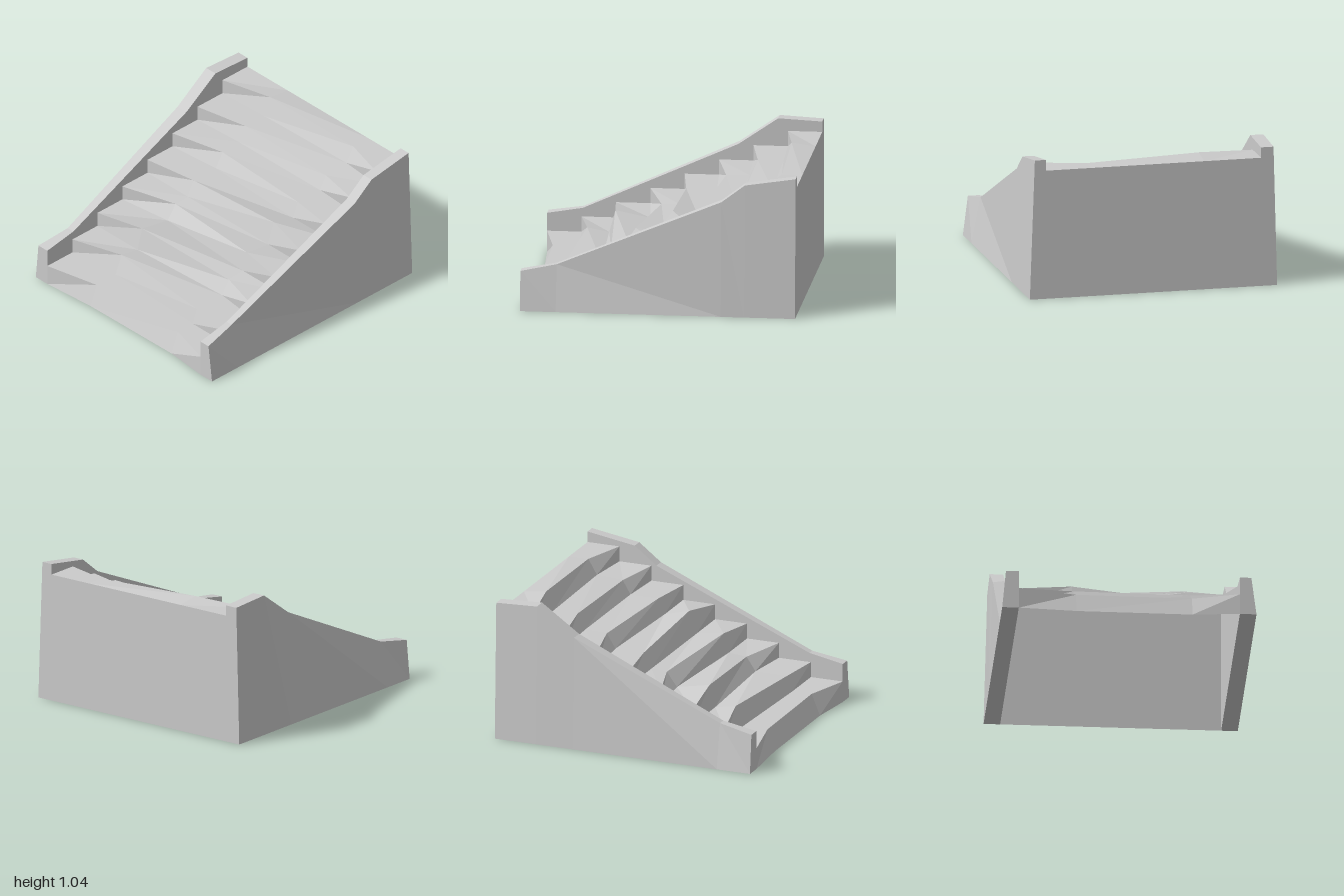
import * as THREE from 'three';

const material = new THREE.MeshStandardMaterial({ color: 0xcccccc, flatShading: true, side: THREE.DoubleSide });

// Two triangles for the corners a, b, c, d in counter-clockwise order
function quad(out, a, b, c, d) {
  for (const p of [a, b, c, a, c, d]) out.push(...p);
}

function makeMesh(name, positions) {
  const geometry = new THREE.BufferGeometry();
  geometry.setAttribute('position', new THREE.Float32BufferAttribute(positions, 3));
  geometry.computeVertexNormals();
  const mesh = new THREE.Mesh(geometry, material);
  mesh.name = name;
  return mesh;
}

// Solid side wall lofted through sections of [z, top height, outer top x]
function makeWall(name, side, sections) {
  const loops = sections.map(([z, y, x]) => {
    const loop = [[side * 0.92, 0, z], [side * 0.8, 0, z], [side * 0.8, y, z], [side * x, y, z]];
    return side > 0 ? loop.reverse() : loop;
  });
  const out = [];
  quad(out, ...loops[0]);
  for (let i = 0; i < loops.length - 1; i++) {
    const front = loops[i], back = loops[i + 1];
    for (let j = 0; j < 4; j++) {
      const k = (j + 1) % 4;
      quad(out, back[j], back[k], front[k], front[j]);
    }
  }
  quad(out, ...[...loops[loops.length - 1]].reverse());
  return makeMesh(name, out);
}

// Worn steps: the two middle columns of each riser are set back and uneven.
// Per step: setback of riser foot, setback of nosing, rise of nosing, each for [left column, right column]
const wear = [
  { foot: [0.03, 0.035], nose: [0.09, 0.1], rise: [0, 0] },
  { foot: [0.03, 0], nose: [0.09, 0.04], rise: [0.03, 0] },
  { foot: [0, 0.04], nose: [0.045, 0.11], rise: [0.05, -0.012] },
  { foot: [0.05, 0], nose: [0.13, 0.04], rise: [-0.007, 0.028] },
  { foot: [0, 0], nose: [0.06, 0.06], rise: [0, 0.05] },
  { foot: [0.033, 0], nose: [0.1, 0.05], rise: [-0.005, 0] },
  { foot: [0.02, 0.02], nose: [0.08, 0.08], rise: [0, -0.013] },
  { foot: [0.017, 0.033], nose: [0.075, 0.1], rise: [0.024, 0] },
];

function makeStairs() {
  const columns = [-0.8, -0.38, 0.46, 0.8];
  const level = (i) => (i < 0 ? 0 : 0.157 + i * 0.1137);
  const row = (y, z, rise = [0, 0], back = [0, 0]) => columns.map((x, k) => {
    const middle = k === 1 || k === 2;
    return [x, y + (middle ? rise[k - 1] : 0), z - (middle ? back[k - 1] : 0)];
  });
  const rows = [];
  wear.forEach(({ foot, nose, rise }, i) => {
    const z = 1 - i * 0.25;
    rows.push(row(level(i - 1), z, [0, 0], foot), row(level(i), z, rise, nose));
  });
  // Rear edge of the landing and the back panel
  rows.push(row(level(7), -1), row(0, -1));

  const out = [];
  for (let r = 0; r < rows.length - 1; r++) {
    for (let k = 0; k < 3; k++) quad(out, rows[r][k], rows[r][k + 1], rows[r + 1][k + 1], rows[r + 1][k]);
  }
  return makeMesh('stepsAndBackPanel', out);
}

export function createModel() {
  const group = new THREE.Group();
  group.name = 'staircase';
  group.add(makeStairs());
  group.add(makeWall('rightSideWall', -1, [
    [1, 0.29, 0.893], [0.74, 0.335, 0.86], [-0.39, 0.845, 0.893], [-0.68, 1.045, 0.897], [-1, 1.03, 0.893],
  ]));
  group.add(makeWall('leftSideWall', 1, [
    [1, 0.29, 0.883], [0.74, 0.34, 0.853], [-0.46, 0.845, 0.883], [-0.63, 0.975, 0.883], [-1, 1.033, 0.883],
  ]));
  return group;
}
